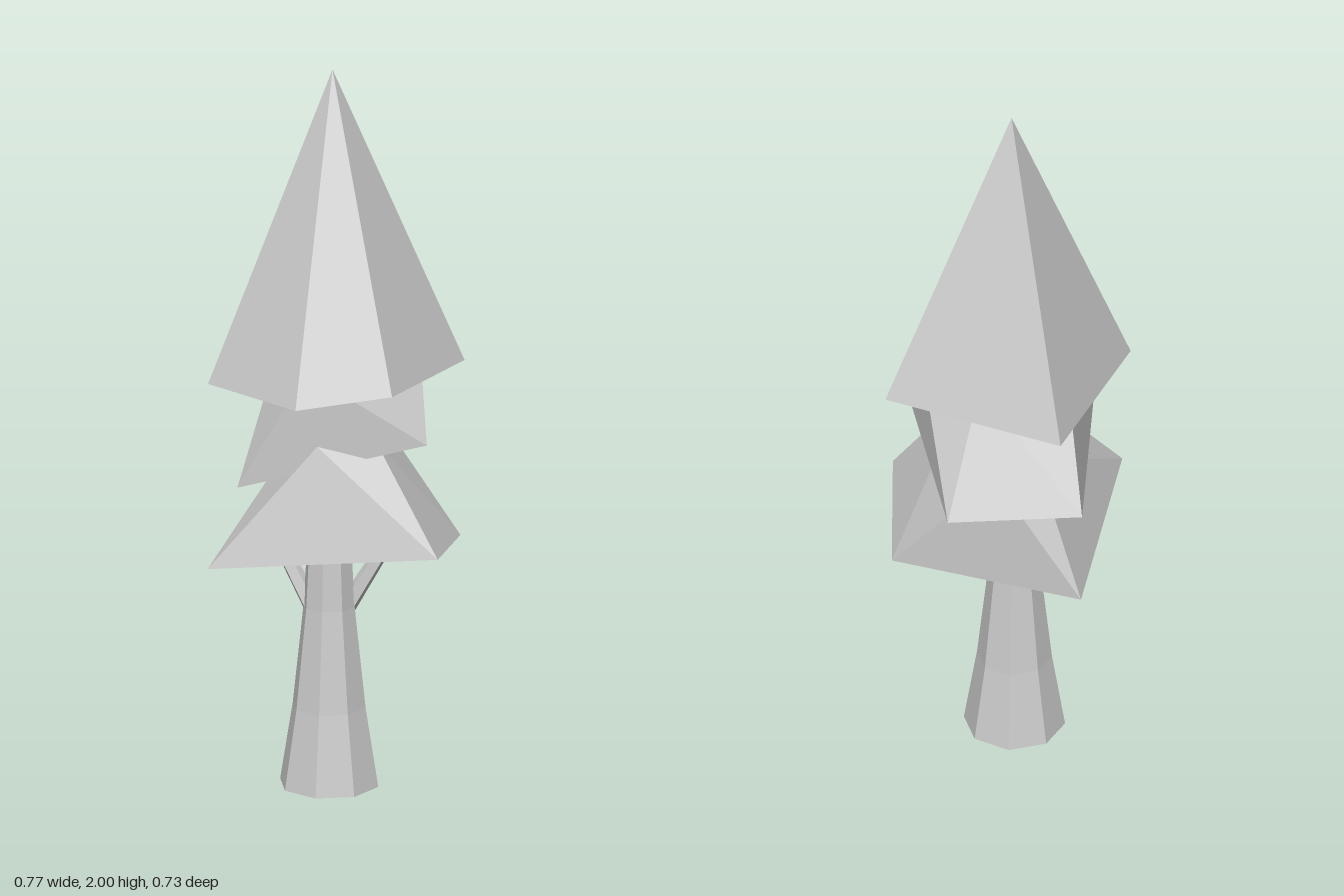
import * as THREE from 'three';

const material = new THREE.MeshStandardMaterial({ color: 0xcccccc, flatShading: true });

function addMesh(group, name, geometry) {
  const mesh = new THREE.Mesh(geometry, material);
  mesh.name = name;
  group.add(mesh);
  return mesh;
}

// Faceted solid from a lower and an upper ring, both listed counterclockwise
// as seen from above. An upper ring of one point makes a pointed tier.
function loft(lower, upper) {
  const n = lower.length;
  const pointed = upper.length === 1;
  const pos = [];
  const tri = (...corners) => corners.forEach((c) => pos.push(...c));
  for (let i = 0; i < n; i++) {
    const j = (i + 1) % n;
    const t = pointed ? upper[0] : upper[i];
    tri(lower[i], lower[j], t);
    if (!pointed) tri(lower[j], upper[j], t);
  }
  // Closing faces
  for (let i = 1; i < n - 1; i++) {
    tri(lower[0], lower[i + 1], lower[i]);
    if (!pointed) tri(upper[0], upper[i], upper[i + 1]);
  }
  const geometry = new THREE.BufferGeometry();
  geometry.setAttribute('position', new THREE.Float32BufferAttribute(pos, 3));
  geometry.computeVertexNormals();
  return geometry;
}

// Tapered stick between two points
function stick(from, to, r0, r1) {
  const a = new THREE.Vector3(...from);
  const b = new THREE.Vector3(...to);
  const dir = b.clone().sub(a);
  const geometry = new THREE.CylinderGeometry(r1, r0, dir.length(), 5);
  geometry.applyQuaternion(
    new THREE.Quaternion().setFromUnitVectors(new THREE.Vector3(0, 1, 0), dir.normalize())
  );
  const mid = a.add(b).multiplyScalar(0.5);
  return geometry.translate(mid.x, mid.y, mid.z);
}

export function createModel() {
  const tree = new THREE.Group();
  tree.name = 'tree';

  // Flared eight-sided trunk
  const profile = [[0, 0], [0.135, 0], [0.1, 0.22], [0.07, 0.5], [0.058, 0.72], [0, 0.72]]
    .map(([r, y]) => new THREE.Vector2(r, y));
  addMesh(tree, 'trunk', new THREE.LatheGeometry(profile, 8)).position.z = 0.01;

  // Two short branches reaching into the foliage
  addMesh(tree, 'leftBranch', stick([0.04, 0.49, 0.03], [0.15, 0.72, 0.11], 0.026, 0.018));
  addMesh(tree, 'rightBranch', stick([-0.03, 0.49, -0.03], [-0.11, 0.72, -0.135], 0.026, 0.018));

  // Uneven foliage tiers, corners running front, left, back, right
  addMesh(tree, 'lowerFoliage', loft(
    [[0.13, 0.71, 0.365], [0.36, 0.655, 0.08], [0.075, 0.655, -0.368], [-0.385, 0.672, 0.035]],
    [[0.05, 1, 0.17], [0.21, 1, -0.17], [0.07, 1, -0.17], [-0.11, 1, 0.14]]
  ));
  addMesh(tree, 'middleFoliage', loft(
    [[0.163, 0.99, 0.248], [0.385, 0.95, -0.19], [0.045, 0.895, -0.335], [-0.308, 0.895, 0.06]],
    [[0.175, 1.21, 0.195], [0.175, 1.22, -0.06], [-0.05, 1.22, -0.15], [-0.14, 1.21, 0.13]]
  ));
  addMesh(tree, 'topFoliage', loft(
    [[0.005, 1.18, 0.34], [0.35, 1.16, 0.12], [0.11, 1.155, -0.325],
      [-0.31, 1.14, -0.095], [-0.23, 1.15, 0.235]],
    [[0.01, 2, 0.01]]
  ));

  return tree;
}
